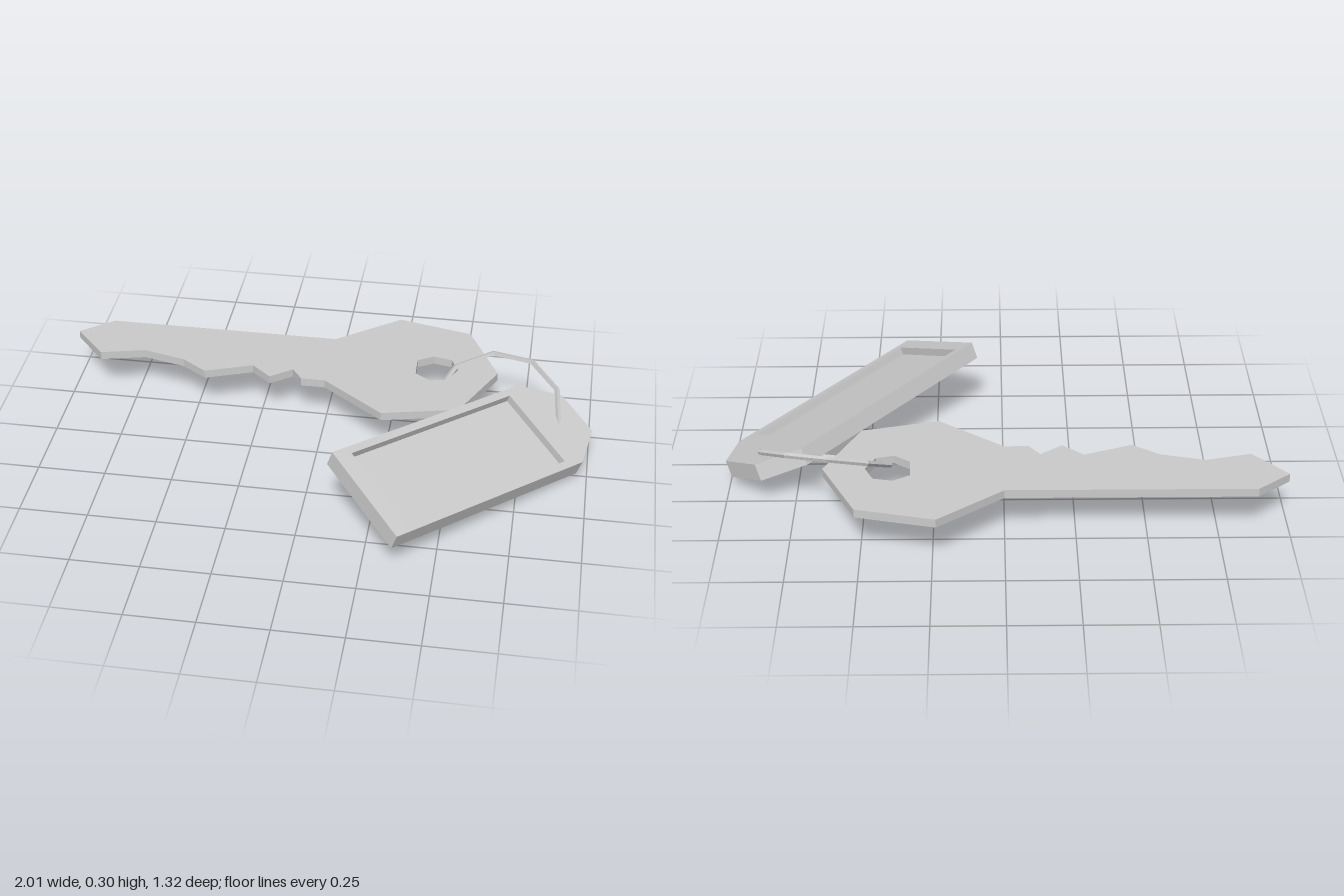
import * as THREE from 'three';

const material = new THREE.MeshStandardMaterial({ color: 0xcccccc, flatShading: true });

const toVectors = (points) => points.map(([x, y]) => new THREE.Vector2(x, y));

// Flat plate with optional hole, extruded along +z
function plate(outline, hole, depth) {
  const shape = new THREE.Shape(toVectors(outline));
  if (hole) shape.holes.push(new THREE.Path(toVectors(hole)));
  return new THREE.ExtrudeGeometry(shape, { depth, bevelEnabled: false });
}

function part(name, geometry) {
  const mesh = new THREE.Mesh(geometry, material);
  mesh.name = name;
  return mesh;
}

// Places an object by its own x and y directions and its origin
function orient(object, xDir, yDir, origin) {
  const x = new THREE.Vector3(...xDir).normalize();
  const y = new THREE.Vector3(...yDir);
  const z = new THREE.Vector3().crossVectors(x, y).normalize();
  y.crossVectors(z, x);
  object.quaternion.setFromRotationMatrix(new THREE.Matrix4().makeBasis(x, y, z));
  object.position.set(...origin);
}

export function createModel() {
  const model = new THREE.Group();
  model.name = 'keyWithTag';

  // Key: pointed toothed blade and eight-sided bow, drawn as x and -z
  const keyOutline = [
    [-1, 0.39], [-0.88, 0.255], [-0.715, 0.295], [-0.555, 0.255], [-0.46, 0.19],
    [-0.285, 0.255], [-0.21, 0.19], [-0.13, 0.25], [-0.09, 0.195], [0, 0.195],
    [0.235, 0.015], [0.515, 0.08], [0.64, 0.34], [0.515, 0.6], [0.235, 0.665],
    [0, 0.485], [-0.88, 0.485],
  ];
  const keyHole = [
    [0.33, 0.385], [0.39, 0.42], [0.46, 0.405], [0.49, 0.34],
    [0.455, 0.27], [0.39, 0.255], [0.333, 0.295],
  ];
  const key = part('key', plate(keyOutline, keyHole, 0.032));
  key.rotation.x = -Math.PI / 2;
  key.position.y = 0.165;
  model.add(key);

  // Tag: clipped end, raised rim around a shallow recess; top face at local z = 0
  const tagOutline = [[0, 0], [0.394, 0], [0.394, 0.88], [0.29, 1.02], [0.104, 1.02], [0, 0.88]];
  const recess = [[0.03, 0.065], [0.03, 0.815], [0.364, 0.815], [0.364, 0.065]];
  const tag = new THREE.Group();
  tag.name = 'tag';
  const rim = part('tagRim', plate(tagOutline, recess, 0.03));
  rim.position.z = -0.03;
  const base = part('tagBase', plate(tagOutline, null, 0.035));
  base.position.z = -0.065;
  tag.add(rim, base);
  orient(tag, [0.26, -0.131, 0.266], [0.595, -0.078, -0.644], [0.115, 0.303, 0.394]);
  model.add(tag);

  // Ten-sided wire ring linking the key and the tag
  const ringGeometry = new THREE.TorusGeometry(0.245, 0.01, 4, 10);
  ringGeometry.rotateZ(THREE.MathUtils.degToRad(24.5));
  const ring = part('ring', ringGeometry);
  orient(ring, [0.99, 0.09, 0.055], [0, 0.52, -0.855], [0.645, 0.137, -0.172]);
  model.add(ring);

  return model;
}
